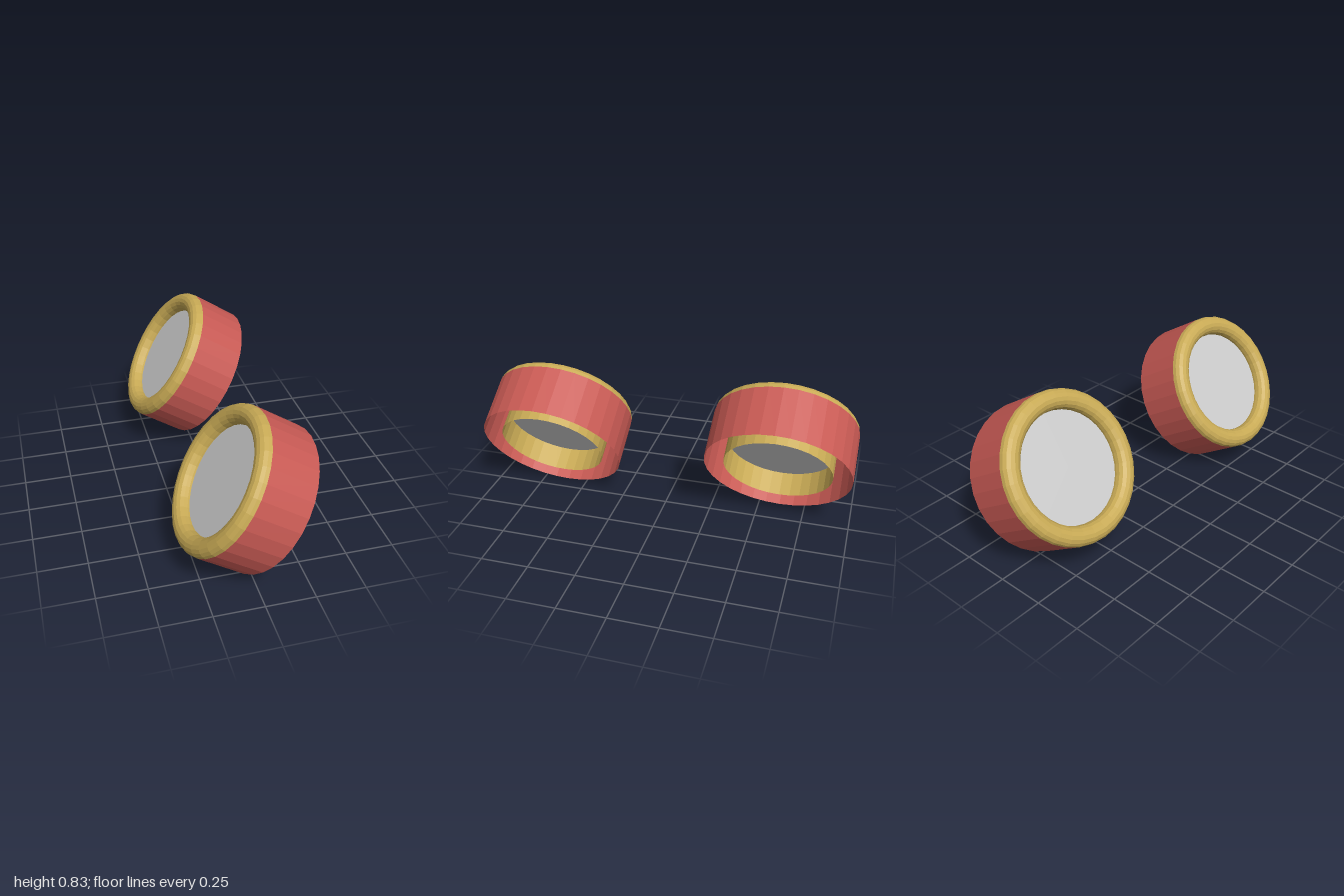
import * as THREE from 'three';

const SEGMENTS = 32;

function paint(color) {
  return new THREE.MeshStandardMaterial({ color, flatShading: true, side: THREE.DoubleSide });
}

function add(parent, name, geometry, material, y = 0) {
  const mesh = new THREE.Mesh(geometry, material);
  mesh.name = name;
  mesh.position.y = y;
  parent.add(mesh);
}

// One eyepiece along +y: open end at y = 0, rounded rim at the far end
function createEyepiece(name, red, gold, grey) {
  const eyepiece = new THREE.Group();
  eyepiece.name = name;

  // Thin outer sleeve
  const sleeve = [new THREE.Vector2(0.38, 0), new THREE.Vector2(0.38, 0.27)];
  add(eyepiece, 'outerSleeve', new THREE.LatheGeometry(sleeve, SEGMENTS), red);

  // Rim rolls over from the sleeve and runs back down as the inner tube
  const rim = [];
  for (let i = 0; i <= 8; i++) {
    const a = (i / 8) * Math.PI;
    rim.push(new THREE.Vector2(0.33 + 0.05 * Math.cos(a), 0.27 + 0.05 * Math.sin(a)));
  }
  rim.push(new THREE.Vector2(0.28, 0.01));
  add(eyepiece, 'rimAndInnerTube', new THREE.LatheGeometry(rim, SEGMENTS), gold);

  // Thick lens inside the tube, with its seat behind the rim
  add(eyepiece, 'lens', new THREE.CylinderGeometry(0.279, 0.279, 0.12, SEGMENTS), grey, 0.2);
  const seat = new THREE.RingGeometry(0.28, 0.33, SEGMENTS).rotateX(-Math.PI / 2);
  add(eyepiece, 'lensSeat', seat, grey, 0.26);
  return eyepiece;
}

export function createModel() {
  const model = new THREE.Group();
  model.name = 'eyepiecePair';
  const red = paint(0xc85a54);
  const gold = paint(0xc8aa55);
  const grey = paint(0xcccccc);

  // Tilted pair, the rear one slightly higher
  const places = [
    ['frontEyepiece', 0.12, 0.32, 0.61],
    ['rearEyepiece', 0.12, 0.36, -0.62],
  ];
  for (const [name, x, y, z] of places) {
    const eyepiece = createEyepiece(name, red, gold, grey);
    eyepiece.position.set(x, y, z);
    eyepiece.rotation.z = 1;
    model.add(eyepiece);
  }
  return model;
}
